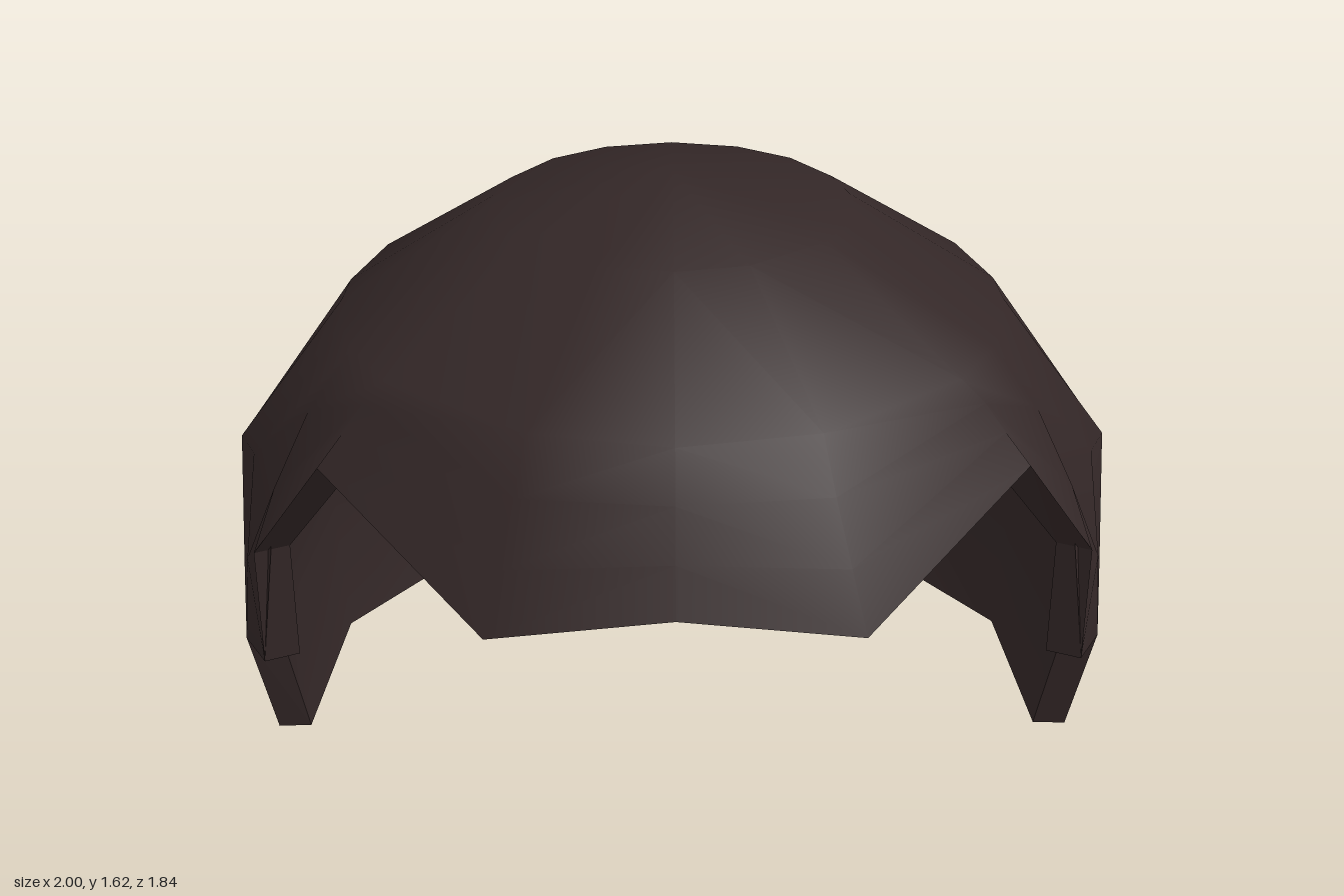
import * as THREE from 'three';
import { mergeVertices } from 'three/addons/utils/BufferGeometryUtils.js';

// Left half, front to back: crown angle in degrees, then three points down to the hem
const HALF = [
  [0, [0, 1.26, 0.81], [0, 1.17, 0.87], [0, 1.08, 0.92]],
  [23, [0.3, 1.25, 0.76], [0.33, 1.13, 0.82], [0.36, 1.01, 0.87]],
  [53, [0.62, 1.29, 0.45], [0.66, 1.24, 0.48], [0.71, 1.18, 0.51]],
  [67, [0.75, 1.22, 0.33], [0.83, 1.06, 0.37], [0.89, 0.9, 0.37]],
  [77, [0.9, 1.06, 0.22], [0.92, 0.85, 0.31], [0.9, 0.61, 0.35]],
  [88, [0.96, 1.02, 0.06], [0.985, 0.7, 0.08], [1, 0.5, 0.09]],
  [97, [0.95, 1.01, -0.06], [0.99, 0.55, 0], [0.96, 0.21, 0.04]],
  [114, [0.89, 0.98, -0.36], [0.92, 0.56, -0.37], [0.9, 0.28, -0.34]],
  [136, [0.67, 0.95, -0.66], [0.7, 0.58, -0.69], [0.69, 0.28, -0.62]],
  [157, [0.37, 0.93, -0.84], [0.38, 0.6, -0.86], [0.37, 0.12, -0.78]],
  [180, [0, 0.93, -0.9], [0, 0.6, -0.915], [0, 0.01, -0.83]],
];

// A full column from the crown to the hem
function column([degrees, ...lower]) {
  const a = THREE.MathUtils.degToRad(degrees);
  const ring = (r, y) => [r * Math.sin(a), y, 0.04 + r * Math.cos(a)];
  return [[0, 1.63, 0.04], ring(0.38, 1.56), ring(0.71, 1.35), ...lower];
}

// The same point on the inside of the shell
const inset = ([x, y, z]) => [x * 0.92, y - 0.09 * Math.max(0, (y - 0.9) / 0.73), z * 0.91];

// Closed sheet of quads through columns of points
function sheet(columns) {
  const positions = [];
  const n = columns.length;
  const triangle = (p, q, r) => {
    const same = (s, t) => s.every((v, k) => Math.abs(v - t[k]) < 1e-5);
    if (!same(p, q) && !same(q, r) && !same(r, p)) positions.push(...p, ...q, ...r);
  };
  for (let i = 0; i < n; i++) {
    const left = columns[i];
    const right = columns[(i + 1) % n];
    for (let j = 0; j < left.length - 1; j++) {
      const a = left[j], b = left[j + 1], c = right[j + 1], d = right[j];
      // Mirrored diagonals on the two sides
      if (i < n / 2) {
        triangle(a, b, c);
        triangle(a, c, d);
      } else {
        triangle(a, b, d);
        triangle(b, c, d);
      }
    }
  }
  const geometry = new THREE.BufferGeometry();
  geometry.setAttribute('position', new THREE.Float32BufferAttribute(positions, 3));
  return geometry;
}

export function createModel() {
  const group = new THREE.Group();
  group.name = 'hair';
  const darkBrown = new THREE.MeshStandardMaterial({ color: 0x332727 });
  darkBrown.name = 'darkBrown';

  const half = HALF.map(column);
  const mirrored = half.slice(1, -1).reverse().map((col) => col.map(([x, y, z]) => [-x, y, z]));
  const outer = [...half, ...mirrored];
  const inner = outer.map((col) => col.map(inset).reverse());
  const rim = outer.map((col, i) => [col[col.length - 1], inner[i][0]]);

  const add = (name, columns, smooth) => {
    let geometry = sheet(columns);
    if (smooth) geometry = mergeVertices(geometry, 1e-4);
    geometry.computeVertexNormals();
    const mesh = new THREE.Mesh(geometry, darkBrown);
    mesh.name = name;
    group.add(mesh);
  };
  add('outerHair', outer, true);
  add('innerHair', inner, true);
  add('hemRim', rim, false);
  return group;
}
